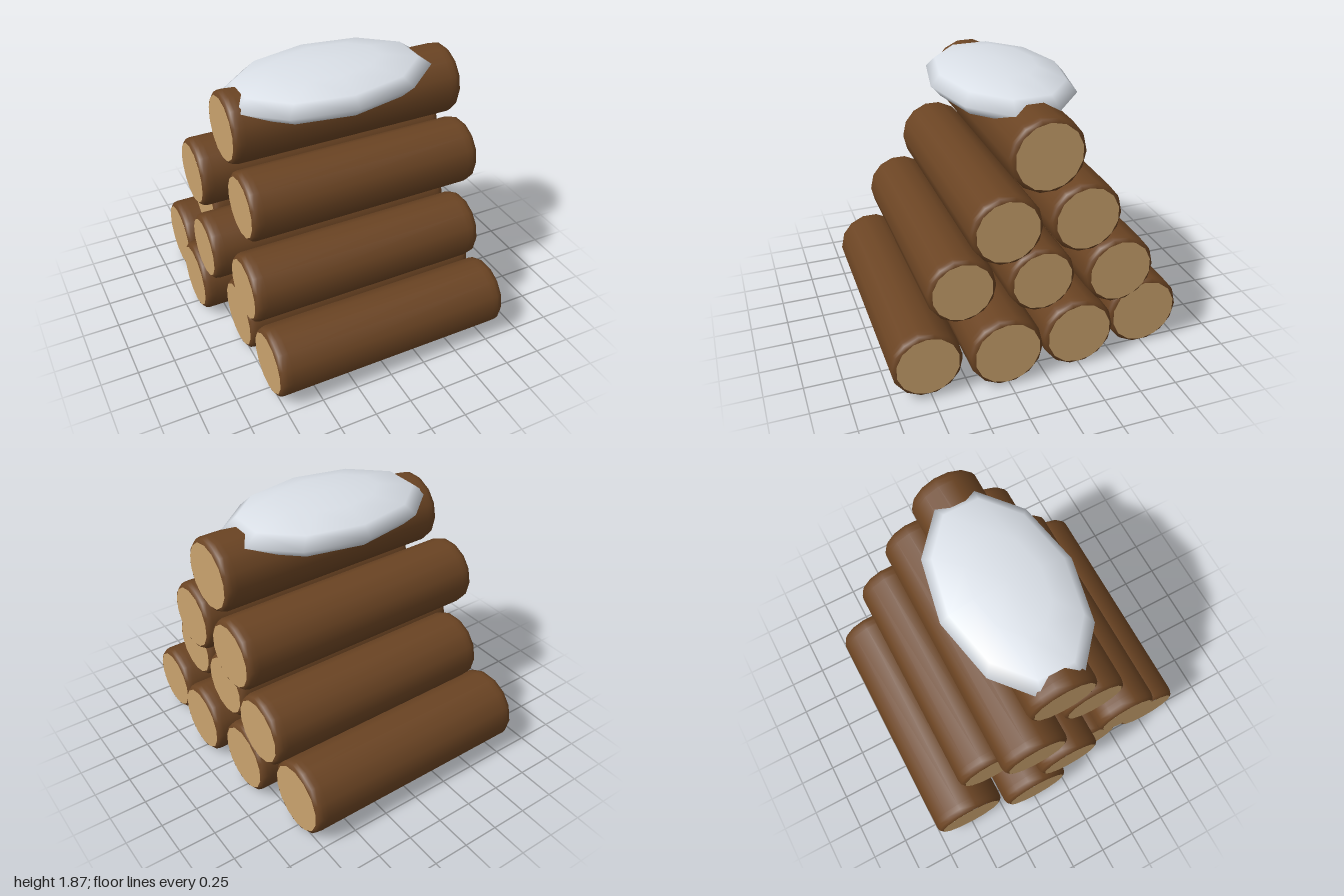
import * as THREE from 'three';

const bark = new THREE.MeshStandardMaterial({ color: 0x6b4423 });
bark.name = 'bark';
const cutWood = new THREE.MeshStandardMaterial({ color: 0xc9a26d });
cutWood.name = 'cutWood';
const snow = new THREE.MeshStandardMaterial({ color: 0xe8eef6 });
snow.name = 'snow';

const SIDES = 14;

// Each log: left end x, right end x, height y, depth z, radius
const LOGS = [
  [-0.78, 0.865, 0.25, 0.77, 0.232],
  [-0.78, 0.91, 0.25, 0.265, 0.245],
  [-0.915, 0.87, 0.25, -0.24, 0.245],
  [-0.86, 0.785, 0.25, -0.747, 0.253],
  [-0.82, 0.79, 0.685, 0.515, 0.225],
  [-0.9, 0.835, 0.685, 0.01, 0.225],
  [-0.72, 0.89, 0.685, -0.495, 0.236],
  [-0.72, 0.905, 1.117, 0.265, 0.23],
  [-0.86, 0.91, 1.117, -0.24, 0.233],
  [-0.72, 0.89, 1.553, 0.01, 0.24],
];

function mesh(geometry, material, name) {
  const m = new THREE.Mesh(geometry, material);
  m.name = name;
  return m;
}

// A log lying along x, with rounded rims and a pale cut face at each end
function makeLog(length, r) {
  const log = new THREE.Group();
  log.name = 'log';
  const h = length / 2;
  const rim = [[r - 0.04, h - 0.002], [r - 0.024, h - 0.002], [r - 0.007, h - 0.018], [r, h - 0.045], [r, h - 0.08]];
  const profile = [
    ...rim.map(([x, y]) => new THREE.Vector2(x, -y)),
    ...rim.reverse().map(([x, y]) => new THREE.Vector2(x, y)),
  ];
  const body = new THREE.LatheGeometry(profile, SIDES);
  body.rotateZ(-Math.PI / 2);
  log.add(mesh(body, bark, 'barkBody'));

  for (const side of [-1, 1]) {
    const face = new THREE.CircleGeometry(r - 0.028, SIDES);
    face.rotateZ(Math.PI / 2);
    face.rotateY(side * Math.PI / 2);
    face.translate(side * h, 0, 0);
    log.add(mesh(face, cutWood, side > 0 ? 'leftCutFace' : 'rightCutFace'));
  }
  return log;
}

export function createModel() {
  const model = new THREE.Group();
  model.name = 'logPile';

  for (const [x0, x1, y, z, r] of LOGS) {
    const log = makeLog(x1 - x0, r);
    log.position.set((x0 + x1) / 2, y, z);
    model.add(log);
  }

  // Flattened snow cap draped on the top log
  const cap = new THREE.SphereGeometry(1, 10, 6);
  cap.rotateY(Math.PI / 2);
  cap.scale(0.725, 0.14, 0.45);
  const snowCap = mesh(cap, snow, 'snowCap');
  snowCap.position.set(0.01, 1.732, 0.01);
  snowCap.rotation.z = 0.02;
  model.add(snowCap);

  return model;
}
